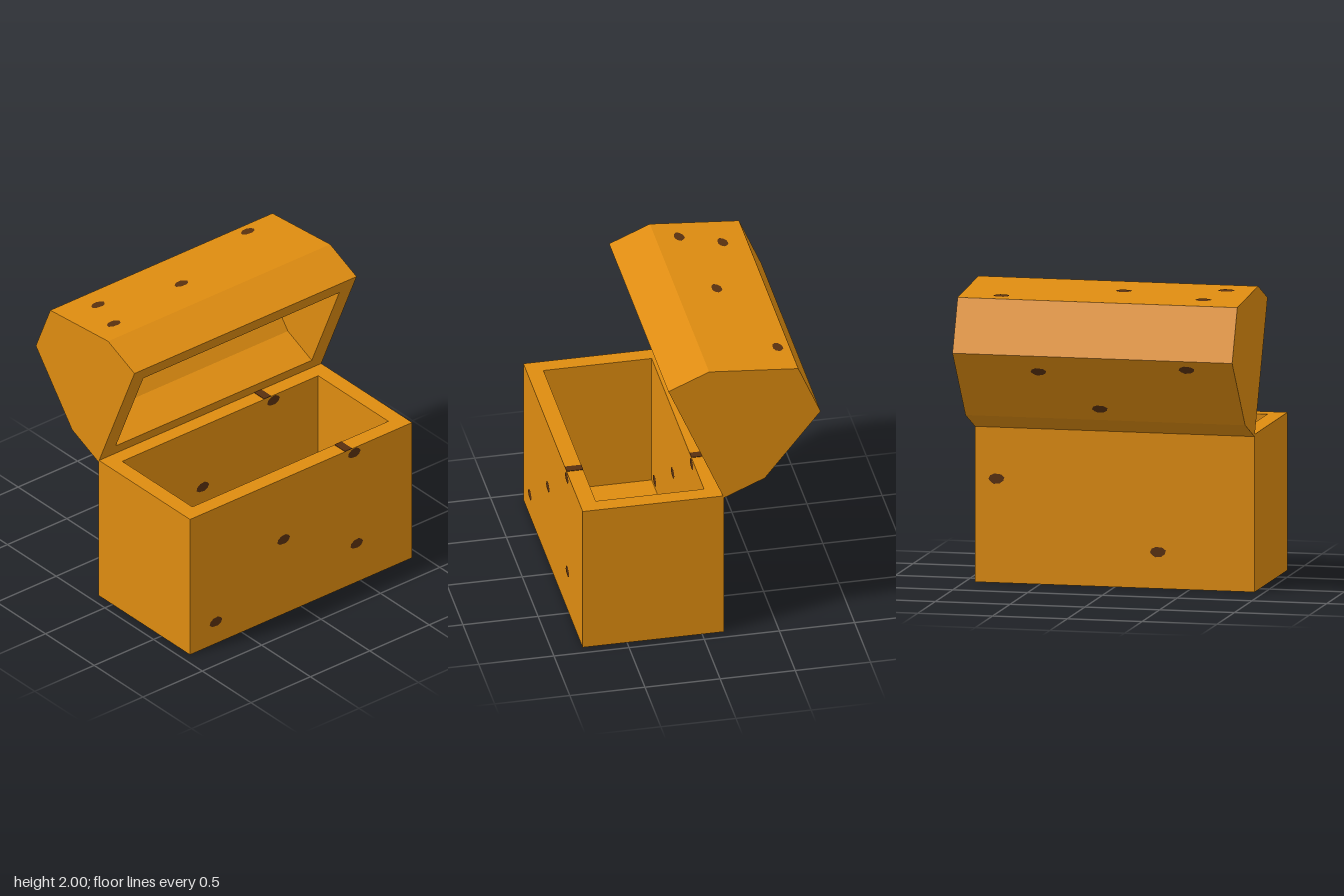
import * as THREE from 'three';

export function createModel() {
  const wood = new THREE.MeshStandardMaterial({ color: 0xde8c10 });
  wood.name = 'orange wood';
  const knot = new THREE.MeshStandardMaterial({ color: 0x59300f });
  knot.name = 'dark knot';

  const W = 0.935, T = 0.11, H = 1.04, BACK = -0.145, FRONT = 0.795;
  const GAP = 0.003; // how far painted marks stand off the wood

  const root = new THREE.Group();
  root.name = 'openChest';
  const add = (parent, name, geo, mat, x = 0, y = 0, z = 0) => {
    const m = new THREE.Mesh(geo, mat);
    m.name = name;
    m.position.set(x, y, z);
    parent.add(m);
    return m;
  };
  const poly = (pts) => pts.map(([x, y]) => new THREE.Vector2(x, y));
  const rect = (x0, y0, x1, y1) => poly([[x0, y0], [x1, y0], [x1, y1], [x0, y1]]);

  // Irregular flat wood knot, turned to face the direction (0, ny, nz)
  const blob = new THREE.ShapeGeometry(new THREE.Shape(poly([
    [-0.052, -0.012], [-0.03, -0.03], [0.015, -0.035], [0.042, -0.022],
    [0.054, 0.002], [0.04, 0.02], [0.018, 0.034], [-0.02, 0.03], [-0.045, 0.012],
  ])));
  const addKnot = (parent, x, y, z, ny, nz) => {
    const m = add(parent, 'knot', blob, knot, x, y + ny * GAP, z + nz * GAP);
    m.rotation.x = Math.atan2(-ny, nz);
  };

  // Chest body: four walls as an extruded frame, plus a floor
  const body = new THREE.Group();
  body.name = 'body';
  root.add(body);
  const frame = new THREE.Shape(rect(-W, -FRONT, W, -BACK));
  frame.holes.push(new THREE.Path(rect(-W + T, -FRONT + T, W - T, -BACK - T)));
  const walls = new THREE.ExtrudeGeometry(frame, { depth: H, bevelEnabled: false });
  walls.rotateX(-Math.PI / 2);
  add(body, 'bodyWalls', walls, wood);
  add(body, 'bodyFloor', new THREE.BoxGeometry(2 * (W - T), T, FRONT - BACK - 2 * T), wood,
    0, T / 2, (FRONT + BACK) / 2);

  // Knots on the outside and inside of the front and back walls
  for (const [x, y] of [[0.445, 1.004], [-0.15, 0.575], [0.465, 0.3], [-0.72, 0.17]]) {
    addKnot(body, x, y, FRONT, 0, 1);
    addKnot(body, x, y, BACK + T, 0, 1);
  }
  for (const [x, y] of [[0.79, 0.685], [-0.29, 0.24]]) {
    addKnot(body, x, y, BACK, 0, -1);
    addKnot(body, x, y, FRONT - T, 0, -1);
  }
  // Grain streaks across the rim
  for (const z of [FRONT - T / 2, BACK + T / 2])
    add(body, 'rimStreak', new THREE.BoxGeometry(0.06, 0.006, T), knot, 0.4, H, z);

  // Lid, hinged at the back: local y runs along the opening, local -z is its depth
  const lid = new THREE.Group();
  lid.name = 'lid';
  lid.position.set(0, 1.025, BACK);
  lid.rotation.x = 0.406;
  root.add(lid);
  const L = 0.936;
  const outer = [[0, 0], [0.295, 0], [0.82, 0.28], [0.82, L - 0.28], [0.295, L], [0, L]];
  const inner = [[0, T], [0.267, T], [0.71, 0.346], [0.71, L - 0.346], [0.267, L - T], [0, L - T]];
  const extrudeLid = (name, pts, x0, x1) => {
    const g = new THREE.ExtrudeGeometry(new THREE.Shape(poly(pts)), { depth: x1 - x0, bevelEnabled: false });
    g.rotateY(Math.PI / 2);
    add(lid, name, g, wood, x0);
  };
  extrudeLid('lidShell', [...outer, ...inner.slice().reverse()], -W + T, W - T);
  extrudeLid('lidEndRight', outer, -W, -W + T);
  extrudeLid('lidEndLeft', outer, W - T, W);

  // Knots on the sloping lid panels, outside and inside
  const outerU = (v) => (v - 0.295) * 0.28 / 0.525;
  const innerU = (v) => T + (v - 0.267) * 0.236 / 0.443;
  const NY = 0.882, NZ = 0.471;
  for (const [x, v] of [[-0.67, 0.675], [-0.1, 0.533], [-0.76, 0.435], [0.66, 0.75]]) {
    addKnot(lid, x, L - outerU(v), -v, NY, -NZ);
    if (v < 0.7) addKnot(lid, x, innerU(v), -v, NY, NZ);
  }
  for (const [x, v] of [[0.38, 0.69], [0.02, 0.39], [-0.62, 0.75]]) {
    addKnot(lid, x, outerU(v), -v, -NY, -NZ);
    if (v < 0.7) addKnot(lid, x, L - innerU(v), -v, -NY, NZ);
  }
  // Grain streak inside the top of the lid
  add(lid, 'lidStreak', new THREE.BoxGeometry(0.027, L - 0.692, 0.006), knot, -0.66, L / 2, -0.71);

  return root;
}
